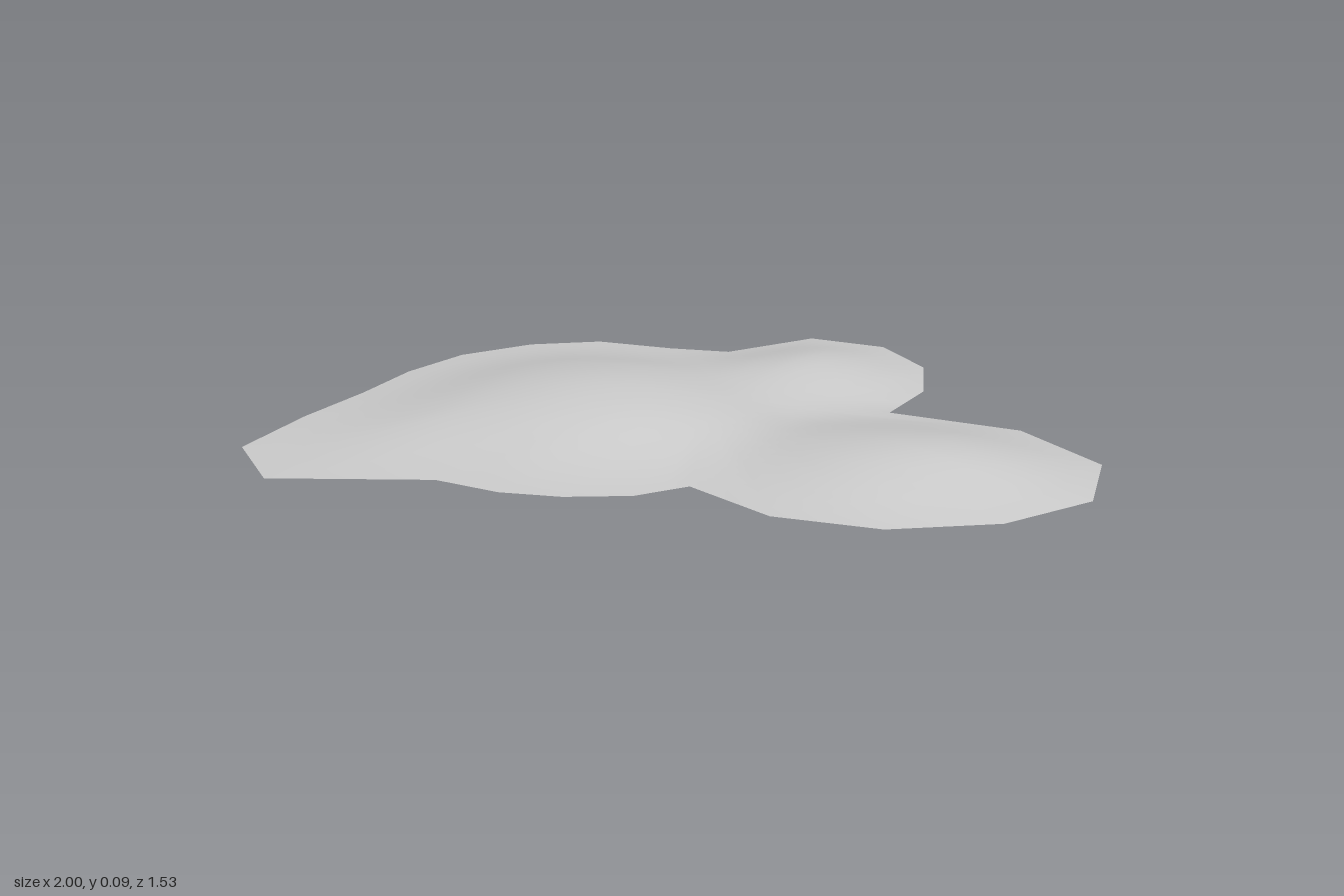
import * as THREE from 'three';

// Ground outline as [x, z], counter-clockwise seen from above
const outline = [
  [1, 0.34], [0.98, 0.08], [0.75, -0.12], [0.41, -0.165], [0.45, -0.37], [0.4, -0.585],
  [0.25, -0.745], [0.04, -0.77], [-0.14, -0.57], [-0.3, -0.555], [-0.51, -0.56], [-0.68, -0.475],
  [-0.82, -0.32], [-0.89, -0.13], [-0.92, 0.08], [-0.97, 0.31], [-1, 0.575], [-0.84, 0.765],
  [-0.46, 0.655], [-0.29, 0.69], [-0.14, 0.675], [0.01, 0.62], [0.11, 0.52], [0.34, 0.655],
  [0.6, 0.66], [0.84, 0.545],
].map(([x, z]) => new THREE.Vector3(x, 0, z));

// Rounded swells: centre x, centre z, height, spread
const lobes = [
  [-0.3, 0.08, 0.087, 0.2],
  [0.58, 0.27, 0.067, 0.18],
  [0.14, -0.37, 0.061, 0.15],
];

// Distance to the nearest side of the outline
function edgeDistance(p) {
  const near = new THREE.Vector3();
  let best = Infinity;
  outline.forEach((a, i) => {
    new THREE.Line3(a, outline[(i + 1) % outline.length]).closestPointToPoint(p, true, near);
    best = Math.min(best, near.distanceTo(p));
  });
  return best;
}

// Soft maximum of the swells, tapering to the ground at the rim
function height(p) {
  let sum = 0;
  for (const [x, z, h, spread] of lobes) {
    sum += (h * Math.exp(-((p.x - x) ** 2 + (p.z - z) ** 2) / spread)) ** 6;
  }
  const s = Math.min(1, edgeDistance(p) / 0.4);
  return sum ** (1 / 6) * s * (2 - s);
}

function moundGeometry(rings, split) {
  // Split every side of the outline so the surface stays smooth
  const rim = outline.flatMap((a, i) =>
    Array.from({ length: split }, (_, k) => a.clone().lerp(outline[(i + 1) % outline.length], k / split)));
  const n = rim.length;
  const centre = new THREE.Vector3();
  const positions = [0, height(centre), 0];
  const index = [];
  for (let r = 1; r <= rings; r++) {
    for (let i = 0; i < n; i++) {
      const p = rim[i].clone().multiplyScalar(r / rings);
      positions.push(p.x, r === rings ? 0 : height(p), p.z);
      const j = (i + 1) % n;
      const outer = 1 + (r - 1) * n, inner = outer - n;
      if (r === 1) index.push(0, outer + i, outer + j);
      else index.push(inner + i, outer + i, outer + j, inner + i, outer + j, inner + j);
    }
  }
  const geometry = new THREE.BufferGeometry();
  geometry.setAttribute('position', new THREE.Float32BufferAttribute(positions, 3));
  geometry.setIndex(index);
  geometry.computeVertexNormals();
  return geometry;
}

export function createModel() {
  const group = new THREE.Group();
  group.name = 'lobedMound';
  const grey = new THREE.MeshStandardMaterial({ color: 0xcccccc, side: THREE.DoubleSide });
  grey.name = 'paleGrey';
  const mound = new THREE.Mesh(moundGeometry(14, 2), grey);
  mound.name = 'mound';
  group.add(mound);
  return group;
}
